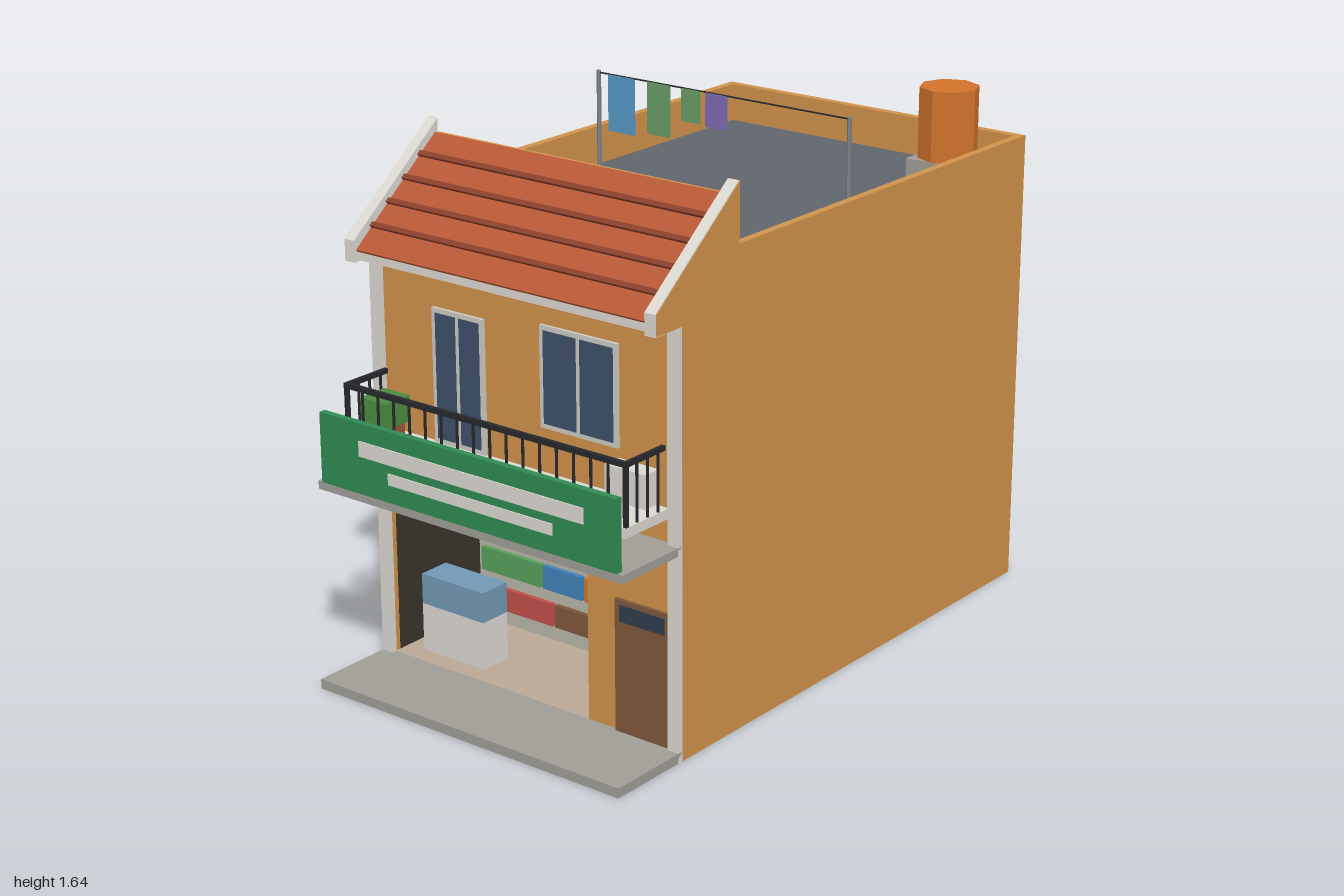
import * as THREE from 'three';

const C = {
  wall: 0xd0924b, white: 0xdbd8d2, grey: 0xa09d96, dark: 0x3a332d, navy: 0x3d5068, frame: 0xcdcac2,
  green: 0x2f8a52, brown: 0x7f5739, tile: 0xb85835, ridge: 0x8a3f2a, deck: 0x60646c, iron: 0x26282b,
  steel: 0x7d8288, orange: 0xd0722a, blue: 0x3f80b8, yellow: 0xd2aa32, lime: 0x55a058, red: 0xc05048,
};
const mats = {};
const mat = (c) => (mats[c] ??= new THREE.MeshStandardMaterial({ color: c, flatShading: true }));

export function createModel() {
  const root = new THREE.Group();

  const group = (name) => {
    const g = new THREE.Group();
    g.name = name;
    root.add(g);
    return g;
  };
  const add = (name, geo, color, parent = root) => {
    const m = new THREE.Mesh(geo, mat(color));
    m.name = name;
    parent.add(m);
    return m;
  };
  // Box given by its limits on each axis
  const box = (name, color, x0, x1, y0, y1, z0, z1, parent) => {
    const m = add(name, new THREE.BoxGeometry(x1 - x0, y1 - y0, z1 - z0), color, parent);
    m.position.set((x0 + x1) / 2, (y0 + y1) / 2, (z0 + z1) / 2);
    return m;
  };
  const extrude = (pts, depth) => new THREE.ExtrudeGeometry(
    new THREE.Shape(pts.map(([a, b]) => new THREE.Vector2(a, b))), { depth, bevelEnabled: false });
  // Side profile of (z, y) points, swept from x0 to x1
  const profile = (name, color, pts, x0, x1, parent) => {
    const m = add(name, extrude(pts, x1 - x0), color, parent);
    m.rotation.y = -Math.PI / 2;
    m.position.x = x1;
    return m;
  };
  const rod = (name, color, r, x, y0, y1, z, parent, sides = 6) => {
    const m = add(name, new THREE.CylinderGeometry(r, r, y1 - y0, sides), color, parent);
    m.position.set(x, (y0 + y1) / 2, z);
    return m;
  };

  // Hollow shell, open underneath
  const shell = group('building shell');
  const sidePts = [[-0.975, 0], [0.72, 0], [0.72, 1.27], [0.83, 1.27], [0.83, 1.33], [0.47, 1.615], [0.47, 1.44], [-0.975, 1.44]];
  const gablePts = [[0.475, 1.29], [0.72, 1.268], [0.833, 1.268], [0.833, 1.332], [0.475, 1.616]];
  for (const s of [-1, 1]) {
    const span = (a, b) => (s > 0 ? [a, b] : [-b, -a]);
    profile('side wall', C.wall, sidePts, ...span(0.535, 0.56), shell);
    profile('gable trim', C.white, gablePts, ...span(0.523, 0.559), shell);
    box('pilaster', C.white, ...span(0.523, 0.56), 0, 1.27, 0.718, 0.738, shell);
  }
  box('back wall', C.wall, -0.536, 0.536, 0, 1.44, -0.975, -0.95, shell);
  const front = add('front wall', extrude([[-0.536, 0], [-0.525, 0], [-0.525, 0.57], [0.225, 0.57], [0.225, 0],
    [0.536, 0], [0.536, 1.3], [-0.536, 1.3]], 0.025), C.wall, shell);
  front.position.z = 0.695;
  box('roof deck', C.deck, -0.536, 0.536, 1.30, 1.32, -0.951, 0.7, shell);

  // Tiled front roof
  const roof = group('tiled roof');
  profile('roof wedge', C.wall, [[0.47, 1.3], [0.7, 1.28], [0.815, 1.28], [0.815, 1.295], [0.485, 1.565], [0.47, 1.575]], -0.524, 0.524, roof);
  box('fascia', C.white, -0.524, 0.524, 1.275, 1.305, 0.8, 0.822, roof);
  const slope = Math.atan2(0.27, 0.335);
  const strip = (name, color, z, y, len, thick) => {
    const m = add(name, new THREE.BoxGeometry(1.042, thick, len), color, roof);
    m.position.set(0, y, z);
    m.rotation.x = slope;
  };
  strip('tiles', C.tile, 0.654, 1.437, 0.435, 0.012);
  for (let i = 0; i < 4; i++) strip('tile course', C.ridge, 0.552 + i * 0.068, 1.524 - i * 0.055, 0.016, 0.024);

  // Shop interior
  const shop = group('shop');
  box('pavement', C.grey, -0.56, 0.56, 0, 0.03, 0.72, 1, shop);
  box('shop floor', 0xb9a793, -0.53, 0.235, 0, 0.03, 0.33, 0.72, shop);
  box('shop back', C.dark, -0.53, 0.235, 0, 0.59, 0.325, 0.335, shop);
  box('shop ceiling', C.dark, -0.53, 0.235, 0.572, 0.59, 0.33, 0.7, shop);
  box('shop left lining', C.dark, 0.226, 0.236, 0, 0.58, 0.33, 0.7, shop);
  box('shop right lining', C.dark, -0.534, -0.524, 0, 0.58, 0.33, 0.7, shop);
  box('shutter housing', C.steel, -0.525, 0.225, 0.568, 0.608, 0.715, 0.752, shop);
  box('shelf unit', 0xb9b5a8, -0.495, 0.2, 0.03, 0.425, 0.335, 0.37, shop);
  const goods = [
    [0.31, 0.385, [[-0.475, -0.26, C.orange], [-0.25, -0.07, C.brown], [-0.06, 0.13, C.lime], [0.14, 0.18, C.yellow]]],
    [0.195, 0.27, [[-0.475, -0.24, C.lime], [-0.23, -0.08, C.blue], [-0.07, 0.065, C.orange], [0.075, 0.18, C.yellow]]],
    [0.08, 0.152, [[-0.475, -0.195, C.red], [-0.185, 0.025, C.brown], [0.035, 0.18, C.blue]]],
  ];
  for (const [y0, y1, row] of goods)
    for (const [x0, x1, c] of row) box('goods', c, x0, x1, y0, y1, 0.365, 0.385, shop);
  box('counter base', C.white, -0.465, -0.225, 0.03, 0.18, 0.555, 0.66, shop);
  box('counter glass', 0x7098b4, -0.465, -0.225, 0.18, 0.275, 0.555, 0.66, shop);

  // House door beside the shop
  const door = group('front door');
  box('door leaf', C.brown, 0.33, 0.523, 0.03, 0.435, 0.715, 0.73, door);
  box('door transom', 0x2f3d50, 0.348, 0.506, 0.37, 0.42, 0.725, 0.733, door);

  // Framed windows: panes stand on the frame, dir is the outward z
  const framed = (name, x0, x1, y0, y1, z, dir, panes, bars = 0) => {
    const g = group(name);
    const zs = (a, b) => (dir > 0 ? [z + a, z + b] : [z - b, z - a]);
    const t = 0.014, w = (x1 - x0 - t) / panes;
    box('frame', C.frame, x0, x1, y0, y1, ...zs(-0.005, 0.01), g);
    for (let i = 0; i < panes; i++)
      box('pane', C.navy, x0 + t + i * w, x0 + (i + 1) * w, y0 + t, y1 - t, ...zs(0, 0.012), g);
    for (let i = 1; i <= bars; i++)
      rod('window bar', C.iron, 0.003, x0 + (x1 - x0) * i / (bars + 1), y0 + 0.01, y1 - 0.01, z + dir * 0.013, g);
  };
  framed('balcony door', -0.33, -0.138, 0.745, 1.15, 0.72, 1, 2);
  framed('front window', 0.07, 0.345, 0.88, 1.18, 0.72, 1, 2);
  framed('upper back window', -0.24, -0.03, 0.89, 1.14, -0.975, -1, 1, 4);
  framed('lower back window', 0.075, 0.255, 0.235, 0.395, -0.975, -1, 1, 4);
  const back = group('back door');
  box('door frame', C.frame, -0.49, -0.3, 0, 0.42, -0.985, -0.97, back);
  box('door leaf', 0x4a3227, -0.475, -0.315, 0, 0.405, -0.988, -0.975, back);
  rod('drainpipe', C.steel, 0.013, 0.5, 0, 1.37, -0.987, root, 8);

  // Canopy and sign board
  const sign = group('canopy and sign');
  box('canopy', C.grey, -0.56, 0.56, 0.62, 0.645, 0.72, 0.975, sign);
  box('sign board', C.green, -0.543, 0.541, 0.645, 0.858, 0.955, 0.977, sign);
  box('upper sign stripe', C.white, -0.39, 0.43, 0.76, 0.806, 0.97, 0.981, sign);
  box('lower sign stripe', C.white, -0.28, 0.32, 0.7, 0.734, 0.97, 0.981, sign);

  // Balcony with railing
  const balcony = group('balcony');
  box('balcony slab', C.white, -0.52, 0.515, 0.715, 0.745, 0.72, 0.907, balcony);
  box('front rail', C.iron, -0.515, 0.515, 0.916, 0.931, 0.89, 0.904, balcony);
  for (let i = 0; i <= 17; i++) {
    const x = -0.509 + i * 1.018 / 17;
    box('baluster', C.iron, x - 0.003, x + 0.003, 0.745, 0.92, 0.894, 0.9, balcony);
  }
  for (const x of [-0.509, 0.509]) {
    box('side rail', C.iron, x - 0.006, x + 0.006, 0.916, 0.931, 0.735, 0.9, balcony);
    box('corner post', C.iron, x - 0.006, x + 0.006, 0.745, 0.92, 0.891, 0.903, balcony);
    for (const z of [0.76, 0.805, 0.85]) box('baluster', C.iron, x - 0.003, x + 0.003, 0.745, 0.92, z - 0.003, z + 0.003, balcony);
  }
  box('plant pot', 0x9a5238, -0.465, -0.395, 0.745, 0.81, 0.785, 0.855, balcony);
  box('plant', 0x4b8a3f, -0.48, -0.38, 0.81, 0.887, 0.775, 0.875, balcony);
  box('cooling unit', C.white, 0.34, 0.48, 0.75, 0.85, 0.72, 0.78, balcony);

  // Water tank on its plinth
  const tank = group('water tank');
  box('tank plinth', C.grey, 0.31, 0.49, 1.32, 1.385, -0.88, -0.7, tank);
  rod('tank body', C.orange, 0.092, 0.4, 1.385, 1.605, -0.79, tank, 8);

  // Washing line
  const line = group('washing line');
  for (const x of [-0.463, 0.46]) rod('line post', C.steel, 0.007, x, 1.32, 1.642, -0.18, line);
  box('line wire', C.iron, -0.463, 0.46, 1.633, 1.637, -0.182, -0.178, line);
  const clothes = [[-0.425, -0.325, 0.175, 0x5598c4], [-0.275, -0.19, 0.16, 0x6a9c66], [-0.145, -0.077, 0.1, 0x6a9c66], [-0.055, 0.022, 0.105, 0x7c6cb4]];
  for (const [x0, x1, h, c] of clothes) box('laundry', c, x0, x1, 1.635 - h, 1.635, -0.183, -0.177, line);

  return root;
}
